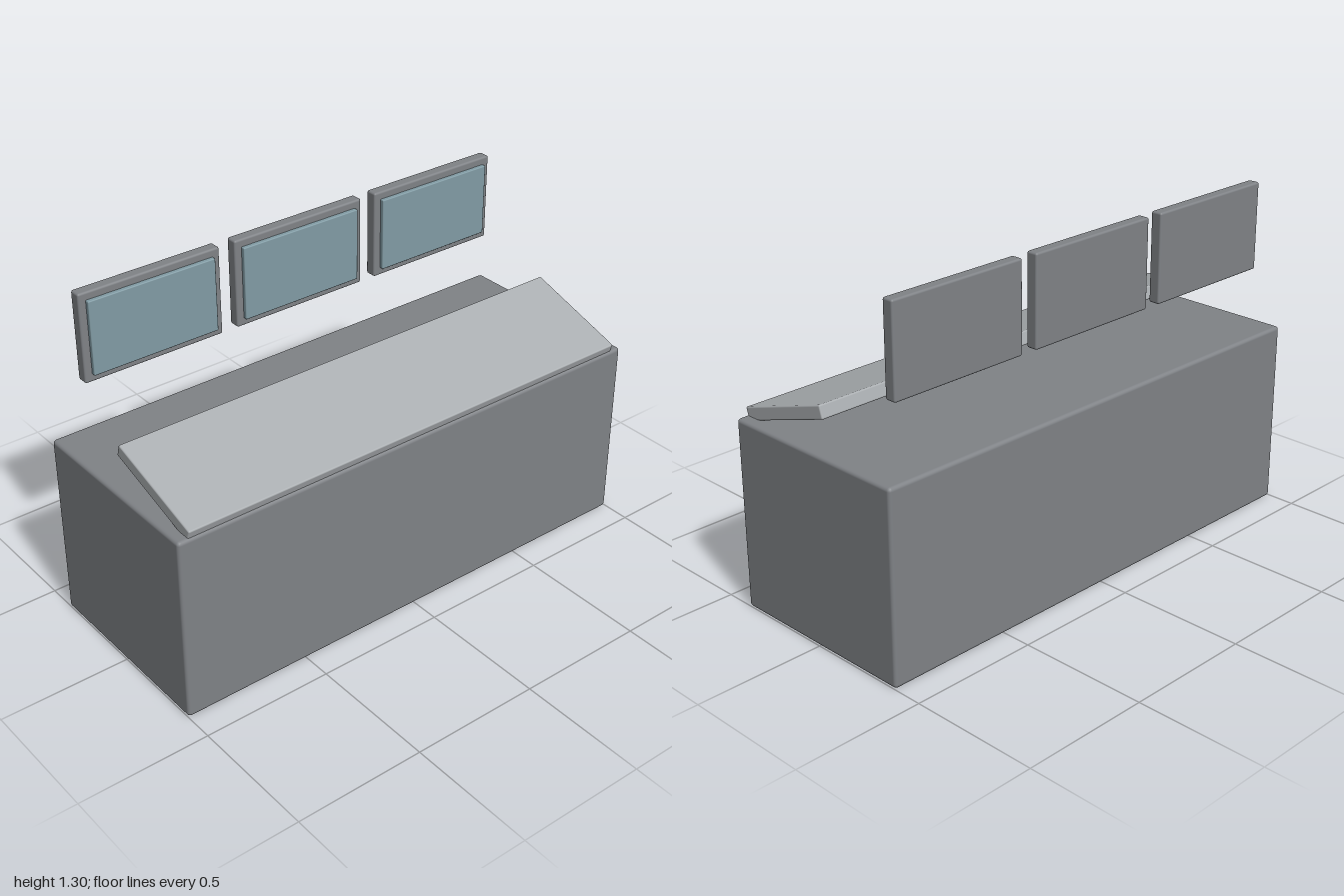
import * as THREE from 'three';
import { RoundedBoxGeometry } from 'three/addons/geometries/RoundedBoxGeometry.js';

export function createModel() {
  const group = new THREE.Group();
  group.name = 'controlConsole';

  const material = (name, color) => {
    const m = new THREE.MeshStandardMaterial({ color });
    m.name = name;
    return m;
  };
  const darkMetal = material('dark metal', 0x808387);
  const lightMetal = material('light metal', 0xabafb2);
  const glass = material('blue glass', 0x829ca5);

  const box = (name, size, position, radius, mat, parent = group) => {
    const mesh = new THREE.Mesh(new RoundedBoxGeometry(...size, 2, radius), mat);
    mesh.name = name;
    mesh.position.set(...position);
    parent.add(mesh);
    return mesh;
  };

  // Desk block
  box('deskBody', [2, 0.725, 0.78], [0, 0.3625, 0], 0.014, darkMetal);

  // Sloping panel, low at the front edge
  const panel = box('controlPanel', [1.915, 0.05, 0.42], [0, 0.793, 0.184], 0.006, lightMetal);
  panel.rotation.x = 0.307;

  // Row of three floating monitors
  for (const x of [-0.627, 0, 0.627]) {
    const monitor = new THREE.Group();
    monitor.name = 'monitor';
    monitor.position.set(x, 1.135, -0.302);
    group.add(monitor);
    box('monitorFrame', [0.563, 0.34, 0.046], [0, 0, 0], 0.008, darkMetal, monitor);
    box('monitorScreen', [0.507, 0.282, 0.025], [0, 0, 0.0265], 0.004, glass, monitor);
  }

  return group;
}
